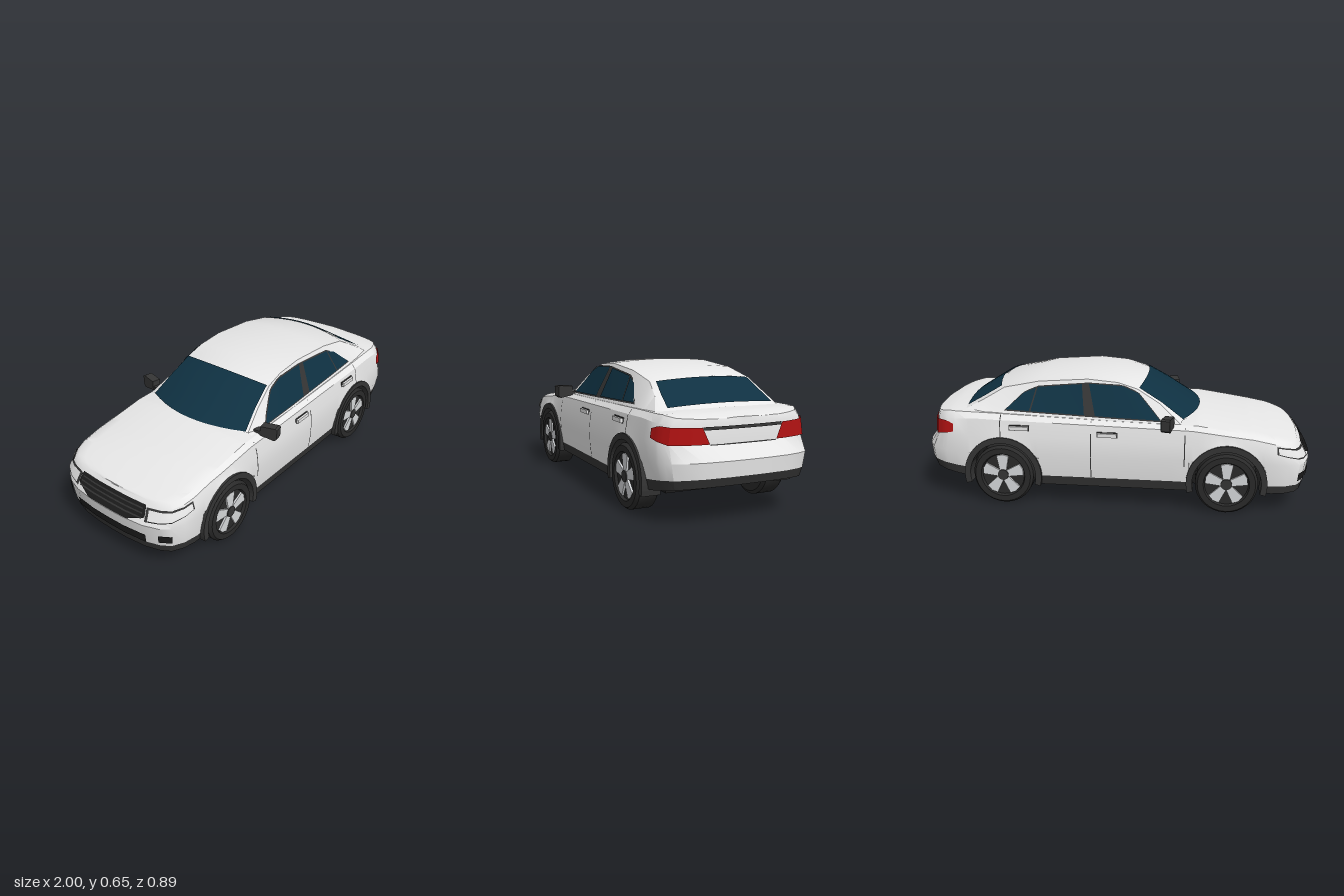
import * as THREE from 'three';
import { toCreasedNormals } from 'three/addons/utils/BufferGeometryUtils.js';

const paint = (name, color) => {
  const m = new THREE.MeshStandardMaterial({ color, side: THREE.DoubleSide });
  m.name = name;
  return m;
};

// Piecewise linear lookup in a table of [x, value] pairs
function lin(table, x) {
  if (x <= table[0][0]) return table[0][1];
  for (let i = 1; i < table.length; i++) {
    const [a, va] = table[i - 1], [b, vb] = table[i];
    if (x <= b) return va + (vb - va) * (x - a) / (b - a);
  }
  return table[table.length - 1][1];
}
const mix = THREE.MathUtils.lerp;

// Surface through rows of points; rows x columns points outward
function skin(rows, crease = 0.5) {
  const n = rows[0].length, idx = [];
  for (let r = 0; r + 1 < rows.length; r++)
    for (let c = 0; c + 1 < n; c++) {
      const a = r * n + c, b = a + n;
      idx.push(a, b, a + 1, b, b + 1, a + 1);
    }
  const g = new THREE.BufferGeometry();
  g.setAttribute('position', new THREE.Float32BufferAttribute(rows.flat(2), 3));
  g.setIndex(idx);
  g.computeVertexNormals();
  return toCreasedNormals(g, crease);
}

// Wheels and arches
const AXLES = [-0.575, 0.555], HUB_Y = 0.155, ARCH = 0.188;
const archY = s => Math.max(...AXLES.map(a =>
  Math.abs(s - a) <= ARCH + 1e-6 ? HUB_Y + Math.sqrt(Math.max(0, ARCH ** 2 - (s - a) ** 2)) : 0));

// Plan outline: width factor along the length
const NOSE = [[-1, 0], [-0.998, 0.25], [-0.985, 0.55], [-0.96, 0.75], [-0.93, 0.87], [-0.87, 0.95], [-0.8, 0.985], [-0.6, 1]];
const PLAN = [...NOSE, ...NOSE.map(([s, w]) => [-s, w]).reverse()];

// Body side levels from sill to deck edge: half width, nose x, tail x, height along the length
const LEVELS = [
  { z: 0.365, f: 0.975, r: 0.98, y: [[-1, 0.105], [0.6, 0.105], [0.75, 0.135], [1, 0.175]] },
  { z: 0.375, f: 0.985, r: 0.995, y: [[-1, 0.145], [-0.3, 0.155], [0.6, 0.155], [0.75, 0.185], [1, 0.215]] },
  { z: 0.388, f: 1.0, r: 1.0, y: [[-1, 0.25], [-0.7, 0.27], [0.8, 0.27], [1, 0.285]] },
  { z: 0.383, f: 0.975, r: 0.948, y: [[-1, 0.285], [-0.7, 0.345], [0.6, 0.365], [1, 0.35]] },
  { z: 0.37, f: 0.952, r: 0.945, y: [[-1, 0.325], [-0.7, 0.385], [-0.4, 0.42], [0.7, 0.445], [1, 0.432]] },
  { z: 0.346, f: 0.935, r: 0.94, y: [[-1, 0.345], [-0.7, 0.4], [-0.43, 0.44], [0, 0.45], [0.6, 0.47], [0.85, 0.474], [1, 0.456]] },
];
const DECK = [[-1, 0.352], [-0.69, 0.42], [-0.43, 0.46], [0, 0.46], [0.7, 0.485], [0.9, 0.475], [1, 0.46]];

function levelPoint(s, k) {
  const L = LEVELS[k], end = s < 0 ? L.f : L.r, a = Math.abs(s);
  const x = a > 0.8 ? Math.sign(s) * (0.8 + (a - 0.8) / 0.2 * (end - 0.8)) : s;
  return [x, Math.max(lin(L.y, s), archY(s)), L.z * lin(PLAN, s)];
}

// Point of the body side at station s and height y, pushed out a little
function sidePoint(s, y, off) {
  const pts = LEVELS.map((_, k) => levelPoint(s, k));
  const along = i => lin(pts.map(p => [p[1], p[i]]), y);
  const z = along(2);
  return [along(0) + (Math.abs(s) > 0.85 ? Math.sign(s) * off : 0), y, z < 0.01 ? 0 : z + off];
}

const STATIONS = [...PLAN.map(p => p[0]), -0.69, -0.43, -0.3, -0.15, 0, 0.1, 0.2, 0.3, 0.85, 0.9];
for (const a of AXLES) {
  STATIONS.push(a - ARCH - 0.001, a + ARCH + 0.001);
  for (let i = 0; i <= 18; i++) STATIONS.push(a - ARCH * Math.cos(Math.PI * i / 18));
}
STATIONS.sort((a, b) => a - b);

// Cabin stations: centre line x, y | roof rail x, y, z | belt y, z
const CABIN = [
  [-0.43, 0.457, -0.345, 0.452, 0.312, 0.44, 0.343],
  [-0.285, 0.546, -0.235, 0.53, 0.287, 0.442, 0.345],
  [-0.15, 0.62, -0.12, 0.597, 0.268, 0.445, 0.345],
  [-0.02, 0.645, -0.02, 0.627, 0.265, 0.45, 0.345],
  [0.13, 0.655, 0.13, 0.64, 0.265, 0.45, 0.345],
  [0.38, 0.638, 0.38, 0.622, 0.265, 0.455, 0.346],
  [0.6, 0.603, 0.56, 0.585, 0.264, 0.46, 0.346],
  [0.69, 0.547, 0.655, 0.53, 0.283, 0.46, 0.344],
  [0.79, 0.482, 0.77, 0.468, 0.3, 0.455, 0.338],
];
const cabinAt = (u, i) => lin(CABIN.map((c, k) => [k, c[i]]), u);
function roofPoint(u, t) {
  const c = i => cabinAt(u, i);
  return [mix(c(0), c(2), t * t), mix(c(1), c(3), t * t), c(4) * t];
}
function cabinSide(x, y, off) {
  const c = i => lin(CABIN.map(k => [k[2], k[i]]), x);
  return [x, y + off * 0.4, mix(c(6), c(4), (y - c(5)) / (c(3) - c(5))) + off];
}
const WINDOW_TOP = [[-0.24, 0.455], [-0.125, 0.578], [-0.045, 0.61], [0.125, 0.618], [0.38, 0.595], [0.45, 0.567], [0.54, 0.487]];
const WINDOW_BASE = [[-0.24, 0.457], [0.54, 0.487]];

export function createModel() {
  const car = new THREE.Group();
  car.name = 'car';
  const white = paint('body white', 0xe8e8e8), glass = paint('tinted glass', 0x0f3142);
  const trim = paint('dark trim', 0x353535), under = paint('underside black', 0x1c1c1c);
  const red = paint('tail lamp red', 0xb01212), tyreMat = paint('tyre black', 0x2a2a2a);
  const silver = paint('wheel silver', 0xd6d8da), lamp = paint('lamp clear', 0xf4f4f4);
  const add = (name, geo, mat, parent = car) => {
    const m = new THREE.Mesh(geo, mat);
    m.name = name;
    parent.add(m);
    return m;
  };
  const flip = row => row.map(([x, y, z]) => [x, y, -z]).reverse();

  // Painted shell: sides, bonnet and boot
  add('bodyShell', skin(STATIONS.map(s => {
    const half = [1, 2, 3, 4, 5].map(k => levelPoint(s, k));
    const [x, y, z] = half[4], top = lin(DECK, s);
    for (const t of [0.85, 0.6, 0.3]) half.push([x, mix(top, y, t ** 2.5), z * t]);
    return [...half, [x, top, 0], ...flip(half)];
  })), white);

  // Dark sill and bumper band, and floor with wheel tunnels
  for (const side of [1, -1]) {
    const rows = STATIONS.map(s => [levelPoint(s, 0), levelPoint(s, 1)]);
    add('sillBand', skin(side > 0 ? rows : rows.map(flip)), trim);
  }
  add('floor', skin(STATIONS.map(s => {
    const p = levelPoint(s, 0);
    return [[p[0], p[1], -p[2]], p];
  })), under);
  add('underbody', new THREE.BoxGeometry(1.67, 0.19, 0.54).translate(-0.095, 0.2, 0), under);

  // Cabin, windscreen and rear window
  const ts = [1, 0.8, 0.6, 0.4, 0.2];
  add('cabin', skin(CABIN.map((c, u) => {
    const half = [[c[2], c[5], c[6]], ...ts.map(t => roofPoint(u, t))];
    return [...half, roofPoint(u, 0), ...flip(half)];
  }), 0.6), white);
  const screen = (name, us, width, dx) => add(name, skin(us.map(u => {
    const half = ts.map(t => roofPoint(u, t * width)).map(([x, y, z]) => [x + dx, y + 0.005, z]);
    const [x, y] = roofPoint(u, 0);
    return [...half, [x + dx, y + 0.005, 0], ...flip(half)];
  })), glass);
  screen('windscreen', [0.02, 0.5, 1, 1.5, 1.98], 0.97, -0.004);
  screen('rearWindow', [6.1, 6.5, 7, 7.4, 7.8], 0.91, 0.004);

  // Side window: slanted patch on the cabin side, base b0..b1, top t0..t1
  function sideWindow(name, mat, b0, b1, t0, t1, grow, off) {
    const rows = [];
    for (let i = 0; i <= 24; i++) {
      const xb = mix(b0, b1, i / 24), xt = mix(t0, t1, i / 24);
      const yb = lin(WINDOW_BASE, xb) - grow, yt = lin(WINDOW_TOP, xt) + grow;
      rows.push([0, 0.33, 0.67, 1].map(v => cabinSide(mix(xb, xt, v), mix(yb, yt, v), off)));
    }
    add(name, skin(rows), mat);
    add(name, skin(rows.map(flip)), mat);
  }
  sideWindow('windowFrame', trim, -0.25, 0.55, -0.13, 0.455, 0.006, 0.003);
  sideWindow('frontSideWindow', glass, -0.24, 0.085, -0.125, 0.122, 0, 0.007);
  sideWindow('rearSideWindow', glass, 0.14, 0.412, 0.158, 0.383, 0, 0.007);
  sideWindow('quarterWindow', glass, 0.42, 0.54, 0.391, 0.45, 0, 0.007);

  // Thin plate on the body side between two height tables, on both sides
  function plate(name, mat, s0, s1, lo, hi, off = 0.005) {
    const mids = [...STATIONS, ...lo.map(p => p[0]), ...hi.map(p => p[0])].filter(s => s > s0 && s < s1);
    const rows = [s0, ...mids.sort((a, b) => a - b), s1].map(s =>
      [0, 0.25, 0.5, 0.75, 1].map(v => sidePoint(s, mix(lin(lo, s), lin(hi, s), v), off)));
    add(name, skin(rows), mat);
    add(name, skin(rows.map(flip)), mat);
  }
  const at = y => [[0, y]];

  // Rear details
  plate('tailLamp', red, 0.81, 0.9906, [[0.81, 0.375], [0.93, 0.352]],
    [[0.81, 0.415], [0.87, 0.43], [0.9863, 0.425], [0.9906, 0.353]], 0.006);
  plate('bootStrip', trim, 0.9866, 1, at(0.412), at(0.426));
  plate('bootSeam', trim, 0.9906, 1, at(0.347), at(0.351), 0.004);

  // Front details
  plate('headlampSurround', trim, -0.984, -0.815, [[-0.984, 0.268], [-0.815, 0.318]], [[-0.984, 0.326], [-0.815, 0.355]], 0.004);
  plate('headlamp', lamp, -0.98, -0.825, [[-0.98, 0.276], [-0.825, 0.32]], [[-0.98, 0.32], [-0.825, 0.348]], 0.007);
  plate('grille', under, -1, -0.985, [[-0.995, 0.255], [-0.985, 0.285]], at(0.334));
  for (const y of [0.278, 0.297, 0.316]) plate('grilleBar', trim, -1, -0.987, at(y), at(y + 0.006), 0.008);
  plate('lowerIntake', under, -1, -0.982, at(0.152), at(0.2));
  plate('fogLampRecess', under, -0.962, -0.925, at(0.17), at(0.212));

  // Door seams
  plate('frontDoorSeam', trim, -0.367, -0.362, at(0.24), at(0.43), 0.003);
  plate('middleDoorSeam', trim, 0.1, 0.105, at(0.16), at(0.448), 0.003);
  plate('rearDoorSeam', trim, 0.56, 0.565, at(0.35), at(0.465), 0.003);

  // Wheel arch lip
  const lip = new THREE.Shape();
  lip.absarc(0, 0, 0.2, -0.26, Math.PI + 0.26, false);
  lip.absarc(0, 0, 0.17, Math.PI + 0.26, -0.26, true);
  const lipGeo = new THREE.ExtrudeGeometry(lip, { depth: 0.093, bevelEnabled: false, curveSegments: 14 });

  // Wheel parts, outer face towards +z
  const tyreGeo = new THREE.LatheGeometry([[0, -0.055], [0.138, -0.058], [0.155, -0.045], [0.155, 0.042], [0.143, 0.058],
    [0.114, 0.058], [0.108, 0.044], [0, 0.042]].map(p => new THREE.Vector2(...p)), 32).rotateX(Math.PI / 2);
  const tyreShape = toCreasedNormals(tyreGeo, 0.5);
  const spoke = new THREE.Shape([[-0.017, 0.025], [0.017, 0.025], [0.031, 0.1], [0, 0.108], [-0.031, 0.1]]
    .map(p => new THREE.Vector2(...p)));
  const spokeGeo = new THREE.ExtrudeGeometry(spoke, { depth: 0.012, bevelEnabled: false });

  for (const side of [1, -1]) {
    for (const x of AXLES) {
      const wheel = new THREE.Group();
      wheel.name = 'wheel';
      wheel.position.set(x, HUB_Y, side * 0.335);
      wheel.rotation.y = side > 0 ? 0 : Math.PI;
      add('tyre', tyreShape, tyreMat, wheel);
      for (let i = 0; i < 5; i++) {
        const s = add('spoke', spokeGeo, silver, wheel);
        s.position.z = 0.041;
        s.rotation.z = i * Math.PI * 0.4;
      }
      add('hubCap', new THREE.CylinderGeometry(0.028, 0.03, 0.016, 16).rotateX(Math.PI / 2), trim, wheel).position.z = 0.049;
      car.add(wheel);
      const arch = add('archLip', lipGeo, trim);
      arch.position.set(x, HUB_Y, side > 0 ? 0.3 : -0.393);
    }
    // Door handles
    for (const [x, y] of [[0.02, 0.386], [0.465, 0.406]]) {
      add('handleRecess', new THREE.BoxGeometry(0.104, 0.028, 0.008), trim).position.set(x, y, side * 0.376);
      add('doorHandle', new THREE.BoxGeometry(0.096, 0.02, 0.022), white).position.set(x, y, side * 0.38);
    }
    // Door mirror, swept back slightly
    const mirror = new THREE.Group();
    mirror.name = 'doorMirror';
    mirror.position.set(-0.28, 0.46, side * 0.395);
    mirror.rotation.y = side * 0.2;
    const shell = new THREE.Shape([[-0.042, -0.022], [0.03, -0.034], [0.044, -0.024], [0.046, 0.028], [0.036, 0.034], [-0.042, 0.028]]
      .map(([z, y]) => new THREE.Vector2(-z * side, y)));
    add('mirrorHousing', new THREE.ExtrudeGeometry(shell, { depth: 0.045, bevelEnabled: false })
      .rotateY(Math.PI / 2).translate(-0.022, 0, 0), trim, mirror);
    if (side < 0) add('mirrorGlass', new THREE.BoxGeometry(0.004, 0.048, 0.074), glass, mirror).position.x = 0.024;
    add('mirrorArm', new THREE.BoxGeometry(0.035, 0.02, 0.05), trim, mirror).position.set(0, -0.012, -side * 0.055);
    car.add(mirror);
  }
  return car;
}
